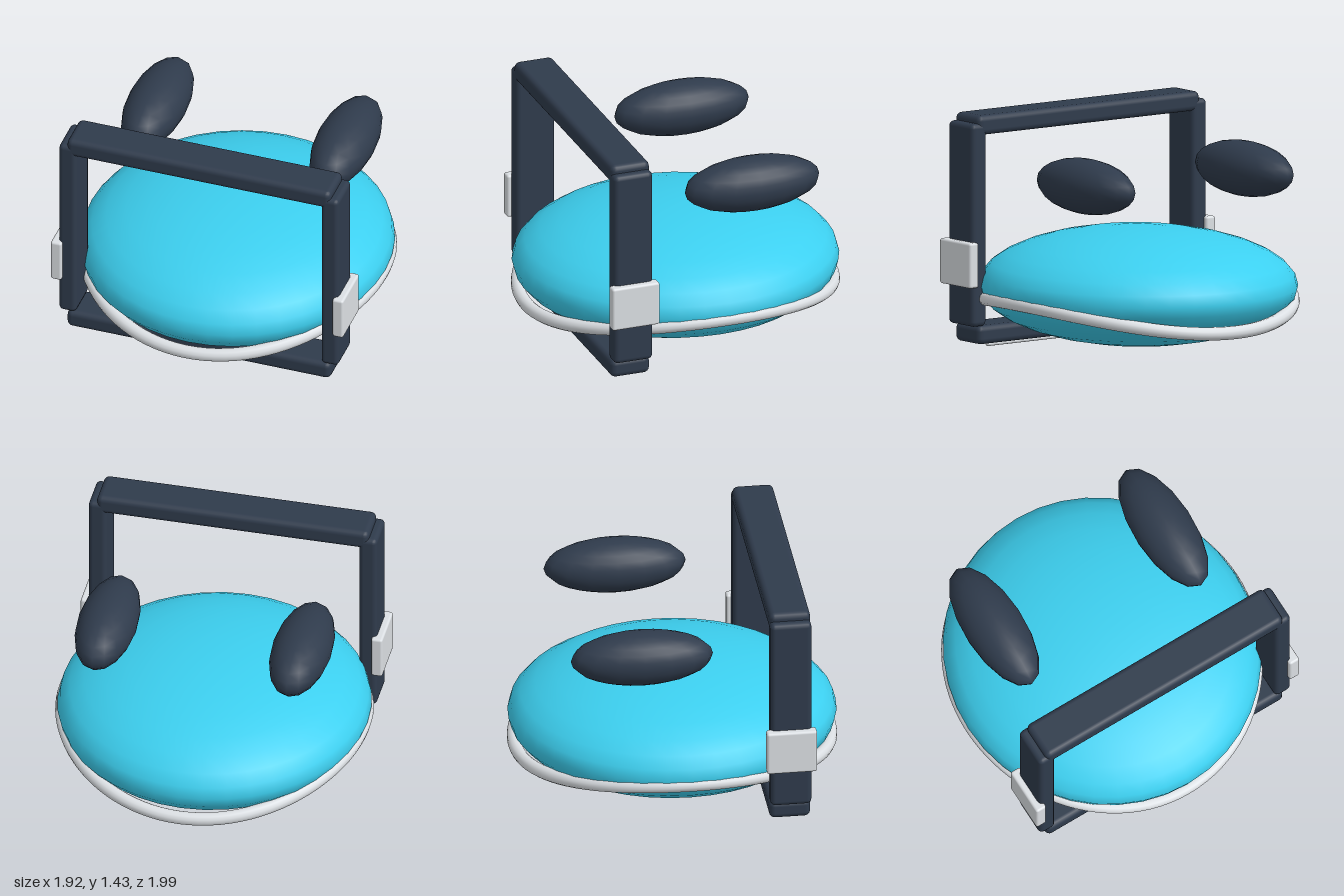
import * as THREE from 'three';
import { RoundedBoxGeometry } from 'three/addons/geometries/RoundedBoxGeometry.js';

const cyan = new THREE.MeshStandardMaterial({ color: 0x3ccfef });
const navy = new THREE.MeshStandardMaterial({ color: 0x2f3b4c });
const silver = new THREE.MeshStandardMaterial({ color: 0xdce0e4 });

// Closed wavy loop: an oval that rises at the sides and dips at front and back
class RimCurve extends THREE.Curve {
  getPoint(t, target = new THREE.Vector3()) {
    const a = t * Math.PI * 2;
    return target.set(0.917 * Math.cos(a), 0.28 + 0.07 * Math.cos(2 * a), 0.955 * Math.sin(a));
  }
}

export function createModel() {
  const group = new THREE.Group();

  const add = (name, geometry, material, x, y, z) => {
    const mesh = new THREE.Mesh(geometry, material);
    mesh.name = name;
    mesh.position.set(x, y, z);
    group.add(mesh);
    return mesh;
  };
  const box = (w, h, d, r) => new RoundedBoxGeometry(w, h, d, 2, r);
  const frameZ = 0.603;

  // Domed body and the rim around it
  add('body', new THREE.SphereGeometry(1, 40, 16).scale(0.945, 0.35, 0.993), cyan, 0, 0.388, 0);
  add('rim', new THREE.TubeGeometry(new RimCurve(), 96, 0.041, 12, true), silver, 0, 0, 0);

  // Rectangular frame: crossbars
  add('topBar', box(1.68, 0.12, 0.25, 0.035), navy, 0, 1.37, frameZ);
  add('bottomBar', box(1.68, 0.115, 0.25, 0.035), navy, 0, 0.093, frameZ);

  // Posts, side clips and floating pods, mirrored
  for (const [side, s] of [['left', 1], ['right', -1]]) {
    add(side + 'Post', box(0.112, 1.235, 0.25, 0.03), navy, s * 0.835, 0.765, frameZ);
    add(side + 'Clip', box(0.07, 0.275, 0.305, 0.015), silver, s * 0.897, 0.528, frameZ);
    add(side + 'Pod', new THREE.SphereGeometry(1, 16, 12).scale(0.18, 0.167, 0.432),
      navy, s * 0.6, 1.072, -0.266);
  }

  // Thin rod under the bottom bar
  const rod = add('lowerRod', new THREE.CapsuleGeometry(0.014, 1.36, 4, 10), silver, 0, 0.016, frameZ);
  rod.rotation.z = Math.PI / 2;

  return group;
}
